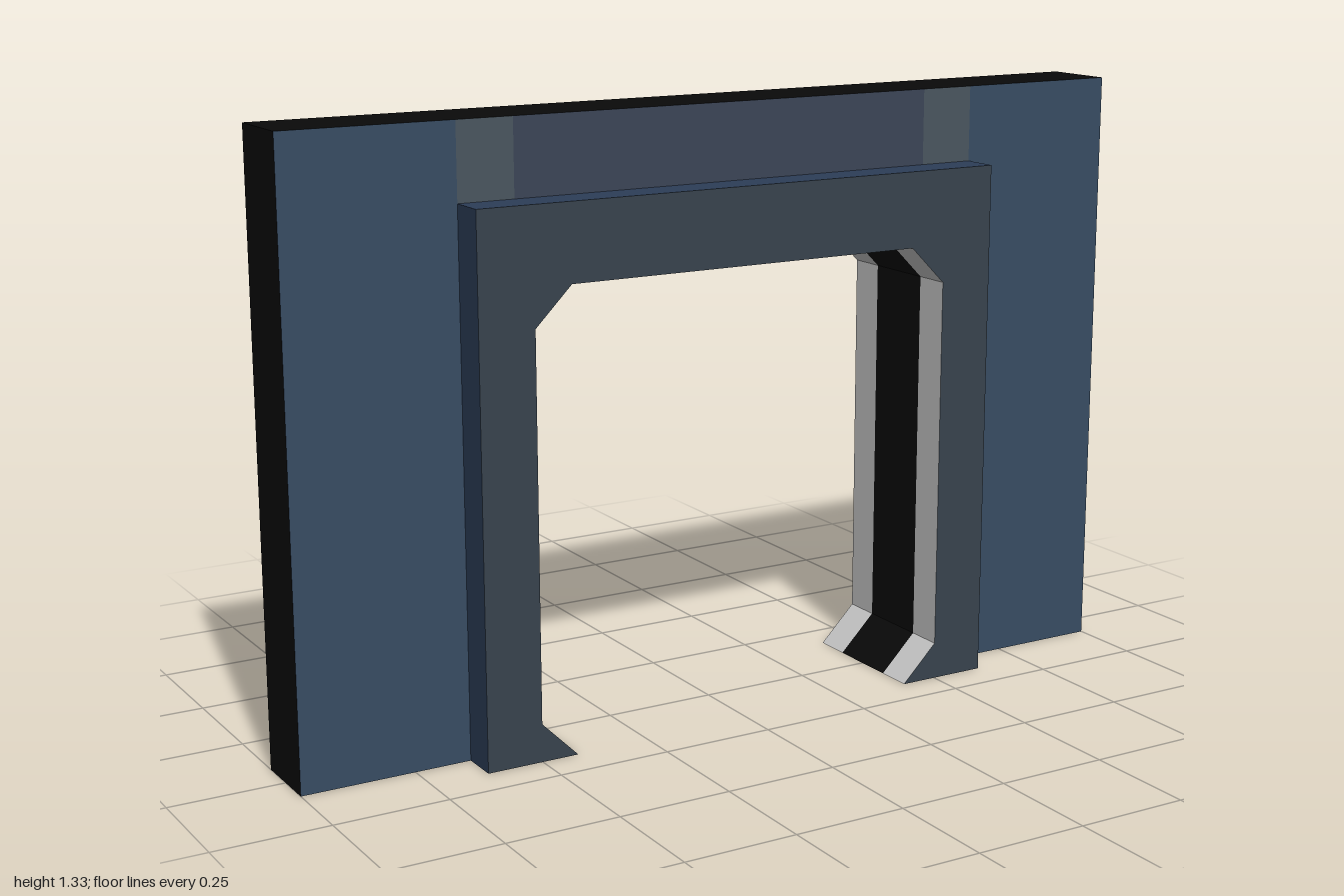
import * as THREE from 'three';

const material = (color) => new THREE.MeshStandardMaterial({ color, flatShading: true });

// Half outlines on the +x side, from the floor up; mirrored where needed
const OPENING = [[0.417, 0], [0.5, 0.083], [0.5, 0.917], [0.417, 1]];
const TRIM_X = 0.625, TRIM_Y = 1.167, WALL_Y = 1.333, WALL_Z = 0.083, TRIM_Z = 0.167;

const mirror = (points) => points.map(([x, y]) => [-x, y]).reverse();

function slab(points, z0, z1, materials, name) {
  const shape = new THREE.Shape(points.map(([x, y]) => new THREE.Vector2(x, y)));
  const geometry = new THREE.ExtrudeGeometry(shape, { depth: z1 - z0, bevelEnabled: false });
  geometry.translate(0, 0, z0);
  const mesh = new THREE.Mesh(geometry, materials);
  mesh.name = name;
  return mesh;
}

// Gives the edges of the trim their own materials: 1 outer, 2 inner jamb, 3 underside
function paintTrimEdges(geometry) {
  const p = geometry.attributes.position;
  const { start, count } = geometry.groups[1];
  geometry.groups.splice(1);
  for (let i = start; i < start + count; i += 3) {
    const x = (p.getX(i) + p.getX(i + 1) + p.getX(i + 2)) / 3;
    const y = (p.getY(i) + p.getY(i + 1) + p.getY(i + 2)) / 3;
    const index = y < 0.001 ? 3 : Math.abs(x) < 0.51 && y < 1.01 ? 2 : 1;
    geometry.addGroup(i, 3, index);
  }
}

export function createModel() {
  const group = new THREE.Group();
  group.name = 'doorway';

  const edge = material(0x0a0a0a);
  const panel = material(0x384c63);
  const strip = material(0x4a565f);
  const lintel = material(0x3c4557);
  const trimMaterials = [material(0x38434d), material(0x2c3d57), material(0xcccccc), edge];

  // Wall: side panels, posts beside the opening and the lintel above it
  const sidePanel = [[TRIM_X, 0], [1, 0], [1, WALL_Y], [TRIM_X, WALL_Y]];
  const post = [OPENING[0], [TRIM_X, 0], [TRIM_X, WALL_Y], [0.5, WALL_Y], OPENING[2], OPENING[1]];
  const beam = [[0.5, 0.917], [0.5, WALL_Y], [-0.5, WALL_Y], [-0.5, 0.917], [-0.417, 1], [0.417, 1]];
  for (const [side, place] of [['left', (s) => s], ['right', mirror]]) {
    group.add(slab(place(sidePanel), -WALL_Z, WALL_Z, [panel, edge], side + 'WallPanel'));
    group.add(slab(place(post), -WALL_Z, WALL_Z, [strip, edge], side + 'DoorPost'));
  }
  group.add(slab(beam, -WALL_Z, WALL_Z, [lintel, edge], 'lintel'));

  // Raised trim around the opening on both faces of the wall
  const arch = [
    ...OPENING, ...mirror(OPENING),
    [-TRIM_X, 0], [-TRIM_X, TRIM_Y], [TRIM_X, TRIM_Y], [TRIM_X, 0],
  ];
  for (const [name, z0, z1] of [['frontTrim', WALL_Z, TRIM_Z], ['backTrim', -TRIM_Z, -WALL_Z]]) {
    const trim = slab(arch, z0, z1, trimMaterials, name);
    paintTrimEdges(trim.geometry);
    group.add(trim);
  }
  return group;
}
